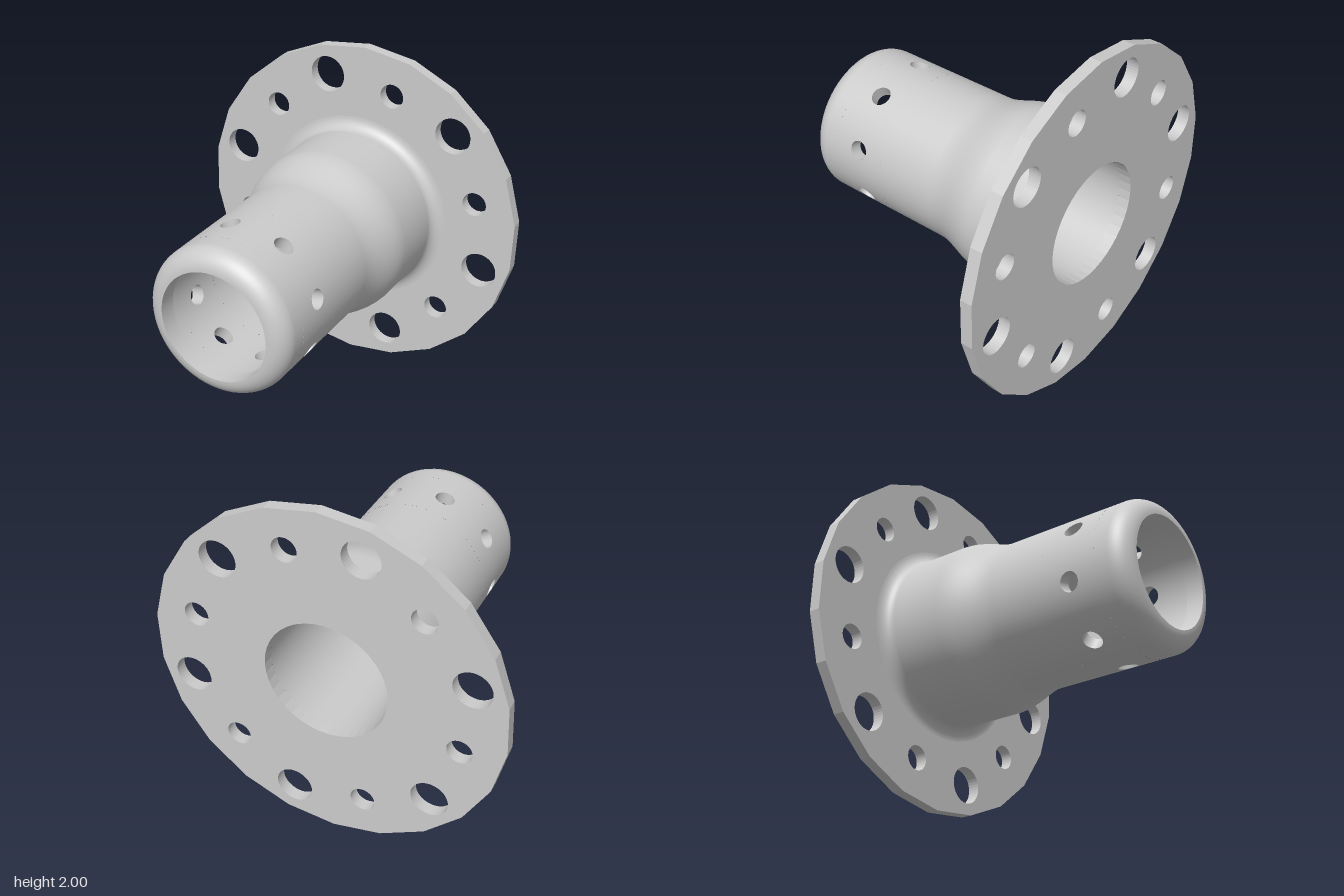
import * as THREE from 'three';
import { ParametricGeometry } from 'three/addons/geometries/ParametricGeometry.js';

const TAU = Math.PI * 2;
const R_OUT = 0.425, R_BASE = 0.497, R_BORE = 0.35, R_LIP = 0.315; // radii about the z axis
const Z_END = 0.82, Z_FACE = -0.75, Z_LIP = 0.72;
const HOLE_Z = 0.465, HOLE_R = 0.055, HOLES = 8, BAND = 0.165; // ring of side holes, band half height

export function createModel() {
  const model = new THREE.Group();
  const material = new THREE.MeshStandardMaterial({ color: 0xcccccc });
  const add = (name, geometry, parent = model) => {
    const mesh = new THREE.Mesh(geometry, material);
    mesh.name = name;
    parent.add(mesh);
    return mesh;
  };

  // Revolve [radius, z] points about the z axis
  const turn = (name, points) => {
    const profile = points.map(([r, z]) => new THREE.Vector2(r, z));
    return add(name, new THREE.LatheGeometry(profile, 64).rotateX(Math.PI / 2));
  };

  // Points on a quarter round centred at (r, z)
  const arc = (r, z, a, b, from, to, n = 8) => Array.from({ length: n + 1 }, (_, i) => {
    const t = from + (to - from) * i / n;
    return [r + a * Math.cos(t), z + b * Math.sin(t)];
  });

  // Flange: 22-sided plate with a bore and two alternating sets of holes
  const plate = new THREE.Shape(Array.from({ length: 22 }, (_, i) => {
    const a = THREE.MathUtils.degToRad(88.9) + i * TAU / 22;
    return new THREE.Vector2(Math.cos(a), Math.sin(a));
  }));
  const punch = (x, y, r) => plate.holes.push(new THREE.Path().absarc(x, y, r, 0, TAU, true));
  punch(0, 0, R_BORE);
  for (let i = 0; i < 6; i++) {
    const big = Math.PI / 4 + i * TAU / 6, small = Math.PI / 12 + i * TAU / 6;
    punch(0.826 * Math.cos(big), 0.826 * Math.sin(big), 0.106);
    punch(0.768 * Math.cos(small), 0.768 * Math.sin(small), 0.071);
  }
  const plateGeometry = new THREE.ExtrudeGeometry(plate, {
    depth: Z_END + Z_FACE, bevelEnabled: false, curveSegments: 20,
  });
  add('flange', plateGeometry.translate(0, 0, -Z_END));

  // Outer sleeve: root fillet, wide base, S-shaped taper, narrow barrel
  const taper = Array.from({ length: 13 }, (_, i) => {
    const t = i / 12;
    return [R_OUT + (R_BASE - R_OUT) * (1 + Math.cos(Math.PI * t)) / 2, -0.38 + 0.33 * t];
  });
  turn('sleeveOuter', [
    ...arc(R_BASE + 0.075, Z_FACE + 0.065, 0.075, 0.065, -Math.PI / 2, -Math.PI),
    ...taper, [R_OUT, HOLE_Z - BAND],
  ]);

  // Rounded nose and the inward lip at the open end
  turn('nose', [
    [R_OUT, HOLE_Z + BAND],
    ...arc(R_LIP, Z_END - 0.11, R_OUT - R_LIP, 0.11, 0, Math.PI / 2, 12),
  ]);
  turn('lipInner', [[R_LIP, Z_END], [R_LIP, Z_LIP]]);
  turn('lipStep', [[R_LIP, Z_LIP], [R_BORE, Z_LIP]]);

  // Bore on both sides of the hole band
  turn('boreFront', [[R_BORE, Z_LIP], [R_BORE, HOLE_Z + BAND]]);
  turn('boreBack', [[R_BORE, HOLE_Z - BAND], [R_BORE, Z_FACE]]);

  // Hole band: each panel spreads from a round hole to a rectangle, wrapped on radius r
  const wrap = (r, theta, t, target) => {
    const c = Math.cos(theta), s = Math.sin(theta), m = Math.max(Math.abs(c), Math.abs(s));
    const a = THREE.MathUtils.lerp(Math.asin(HOLE_R * c / r), c / m * Math.PI / HOLES, t);
    const z = THREE.MathUtils.lerp(HOLE_R * s, s / m * BAND, t);
    target.set(r * Math.cos(a), r * Math.sin(a), HOLE_Z + z);
  };
  const outer = new ParametricGeometry((u, v, p) => wrap(R_OUT, -TAU * u, v, p), 48, 6);
  const inner = new ParametricGeometry((u, v, p) => wrap(R_BORE, TAU * u, v, p), 48, 6);
  const wall = new ParametricGeometry(
    (u, v, p) => wrap(THREE.MathUtils.lerp(R_OUT, R_BORE, v), TAU * u, 0, p), 48, 1);
  for (let i = 0; i < HOLES; i++) {
    const panel = new THREE.Group();
    panel.name = 'holePanel';
    panel.rotation.z = Math.PI / 12 + i * TAU / HOLES;
    add('panelOuter', outer, panel);
    add('panelInner', inner, panel);
    add('holeWall', wall, panel);
    model.add(panel);
  }

  model.position.y = 1;
  const root = new THREE.Group();
  root.name = 'flangedSleeve';
  root.add(model);
  return root;
}
